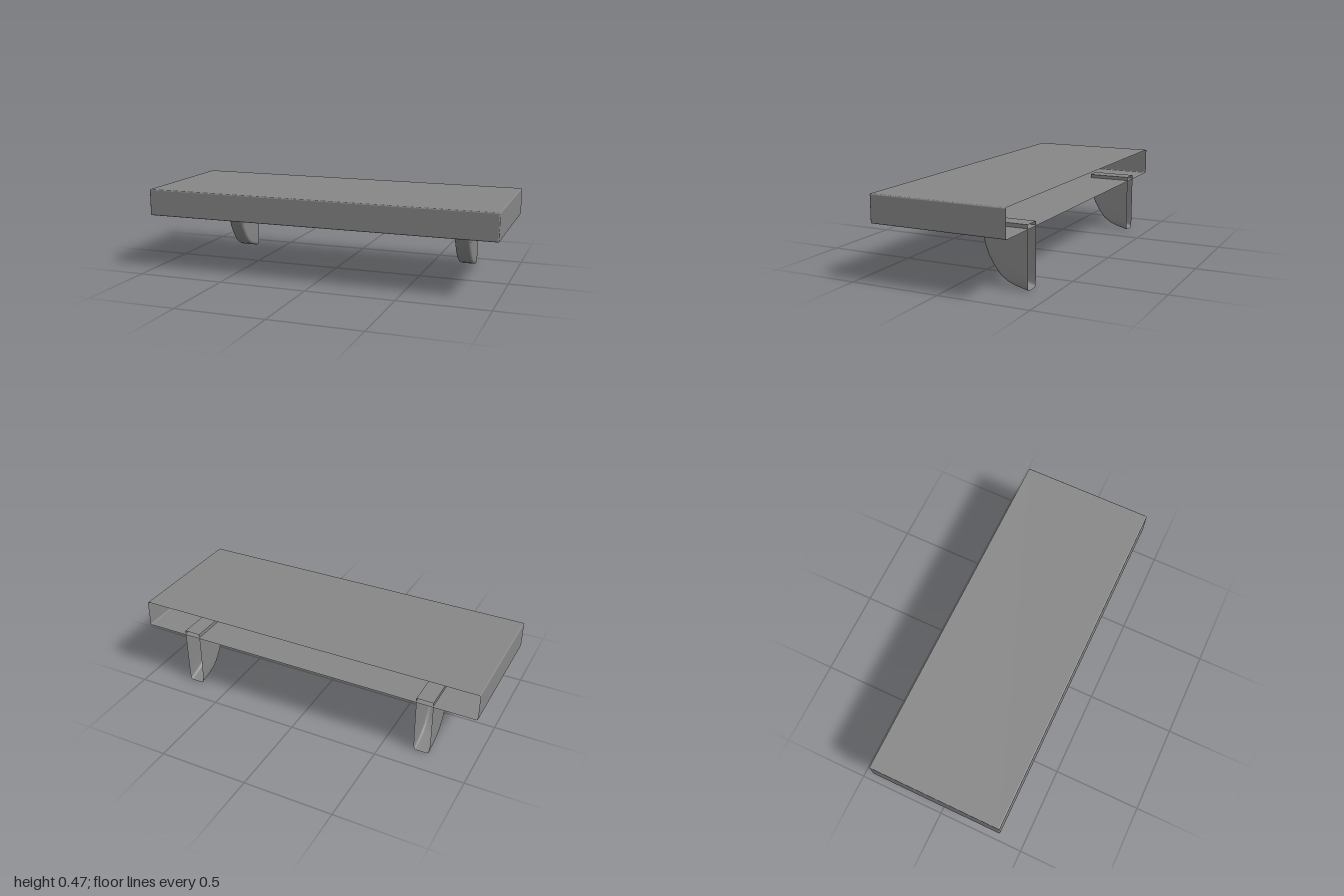
import * as THREE from 'three';
import { RoundedBoxGeometry } from 'three/addons/geometries/RoundedBoxGeometry.js';

const BACK = -0.378;          // open back edge of the board
const BRACKET_BACK = -0.37;   // open back edge of the brackets
const material = new THREE.MeshStandardMaterial({ color: 0x878787, side: THREE.DoubleSide });

// Hollow board: a rounded box with everything behind the back edge cut away
function boardGeometry() {
  const r = 0.007, depth = 0.756 + r;
  const box = new RoundedBoxGeometry(2, 0.152, depth, 3, r);
  box.translate(0, 0.394, -r / 2);
  const p = box.attributes.position, n = box.attributes.normal;
  const pos = [], nor = [];
  for (let i = 0; i < p.count; i += 3) {
    if (Math.min(p.getZ(i), p.getZ(i + 1), p.getZ(i + 2)) < BACK - 1e-4) continue;
    for (let k = i; k < i + 3; k++) {
      pos.push(p.getX(k), p.getY(k), p.getZ(k));
      nor.push(n.getX(k), n.getY(k), n.getZ(k));
    }
  }
  const g = new THREE.BufferGeometry();
  g.setAttribute('position', new THREE.Float32BufferAttribute(pos, 3));
  g.setAttribute('normal', new THREE.Float32BufferAttribute(nor, 3));
  return g;
}

// Curved front edge of a bracket as (z, y), from top to bottom
const profile = [
  [-0.117, 0.338], [-0.117, 0.315], [-0.12, 0.27], [-0.128, 0.22], [-0.15, 0.16], [-0.183, 0.105],
  [-0.217, 0.063], [-0.255, 0.036], [-0.3, 0.018], [BRACKET_BACK, 0],
];
// Rounded edge across the width as (x, inset from the profile)
const half = [[-0.0465, 0.016], [-0.0445, 0.009], [-0.04, 0.003], [-0.033, 0]];
const rim = [...half, ...half.map(([x, d]) => [-x, d]).reverse()];

// One row per profile point: back of one side, round the rim, back of the other side
function bracketRows() {
  return profile.map(([z, y], i) => {
    const a = profile[Math.max(i - 1, 0)], b = profile[Math.min(i + 1, profile.length - 1)];
    const len = Math.hypot(b[0] - a[0], b[1] - a[1]);
    const nz = (b[1] - a[1]) / len, ny = -(b[0] - a[0]) / len;
    const taper = 1 - 0.06 * (i / (profile.length - 1)) ** 4;
    const row = rim.map(([x, d]) => [x * taper, y + ny * d, Math.max(z + nz * d, BRACKET_BACK)]);
    const first = row[0], last = row[row.length - 1];
    return [[first[0], first[1], BRACKET_BACK], ...row, [last[0], last[1], BRACKET_BACK]];
  });
}

function bracketShell(rows) {
  const cols = rows[0].length, index = [];
  for (let i = 0; i < rows.length - 1; i++) {
    for (let j = 0; j < cols - 1; j++) {
      const a = i * cols + j, b = a + cols;
      index.push(a, b, a + 1, a + 1, b, b + 1);
    }
  }
  const g = new THREE.BufferGeometry();
  g.setAttribute('position', new THREE.Float32BufferAttribute(rows.flat(2), 3));
  g.setIndex(index);
  g.computeVertexNormals();
  return g;
}

// Flat lid following the outline of the top row
function bracketLid(row) {
  const shape = new THREE.Shape(row.map(([x, , z]) => new THREE.Vector2(x, -z)));
  return new THREE.ShapeGeometry(shape).rotateX(-Math.PI / 2).translate(0, profile[0][1], 0);
}

function addMesh(parent, name, geometry) {
  const mesh = new THREE.Mesh(geometry, material);
  mesh.name = name;
  parent.add(mesh);
}

export function createModel() {
  const model = new THREE.Group();
  model.name = 'wallShelf';
  addMesh(model, 'shelfBoard', boardGeometry());

  // Pair of hollow brackets under the back edge
  const rows = bracketRows();
  const shell = bracketShell(rows), lid = bracketLid(rows[0]);
  for (const [name, x] of [['leftBracket', 0.712], ['rightBracket', -0.714]]) {
    const bracket = new THREE.Group();
    bracket.name = name;
    bracket.position.x = x;
    addMesh(bracket, 'bracketShell', shell);
    addMesh(bracket, 'bracketTop', lid);
    model.add(bracket);
  }
  return model;
}
